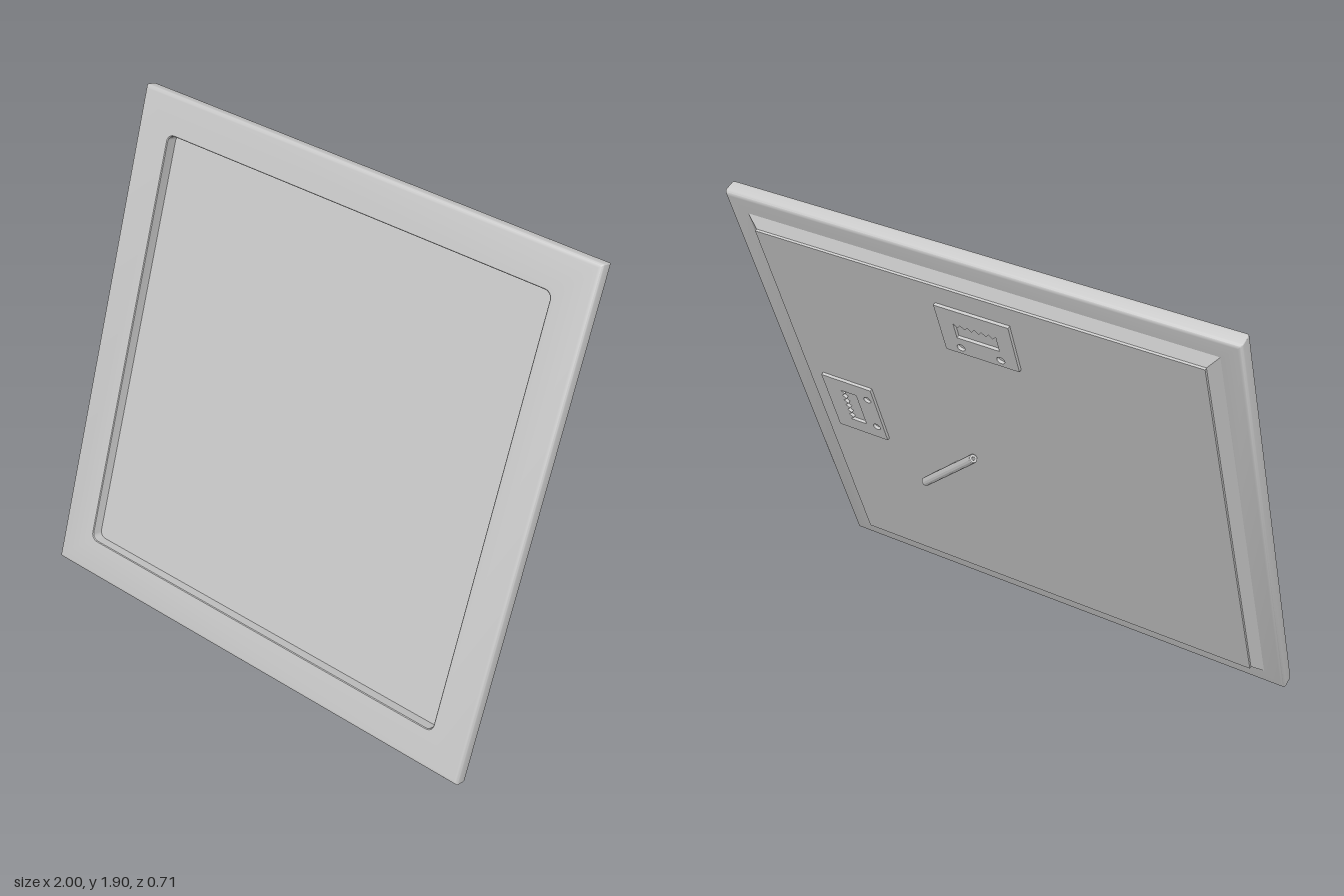
import * as THREE from 'three';
import { toCreasedNormals } from 'three/addons/utils/BufferGeometryUtils.js';

const TILT = Math.atan2(0.65, 1.87);
const HALF_DEPTH = 0.0325;   // half the thickness of the frame
const PANEL_Z = -0.067;      // rear surface of the backing panel

const grey = () => new THREE.MeshStandardMaterial({ color: 0xcccccc });

function add(parent, name, geometry, x = 0, y = 0, z = 0, flat = false) {
  const mesh = new THREE.Mesh(geometry, grey());
  mesh.material.flatShading = flat;
  mesh.name = name;
  mesh.position.set(x, y, z);
  parent.add(mesh);
  return mesh;
}

// Square border: a closed cross-section of round-cornered loops [half width, corner radius, z]
function createBorder() {
  const loops = [];
  const e = 0.015;   // rounding of the outer edges
  for (const [zMid, start] of [[-HALF_DEPTH + e, -Math.PI / 2], [HALF_DEPTH - e, 0]]) {
    for (let i = 0; i <= 4; i++) {
      const a = start + (i / 4) * Math.PI / 2;
      loops.push([1 - e + e * Math.cos(a), 0.004, zMid + e * Math.sin(a)]);
    }
  }
  loops.push([0.852, 0.03, HALF_DEPTH], [0.849, 0.028, HALF_DEPTH - 0.003], [0.849, 0.028, -HALF_DEPTH]);

  const arc = 6, count = 4 * (arc + 1);
  const positions = [], indices = [];
  loops.forEach(([half, r, z], j) => {
    for (let k = 0; k < count; k++) {
      const corner = Math.floor(k / (arc + 1));
      const a = (corner + (k % (arc + 1)) / arc) * Math.PI / 2;
      const sx = corner === 0 || corner === 3 ? 1 : -1;
      const sy = corner < 2 ? 1 : -1;
      positions.push(sx * (half - r) + r * Math.cos(a), sy * (half - r) + r * Math.sin(a), z);
      const next = (k + 1) % count;
      const row = j * count, rowNext = ((j + 1) % loops.length) * count;
      indices.push(row + k, row + next, rowNext + k, row + next, rowNext + next, rowNext + k);
    }
  });
  const geometry = new THREE.BufferGeometry();
  geometry.setAttribute('position', new THREE.Float32BufferAttribute(positions, 3));
  geometry.setIndex(indices);
  return toCreasedNormals(geometry, Math.PI / 6);
}

// Hanger plate with a sawtooth slot and two nail holes; its z axis points out of the panel
function createHanger() {
  const hanger = new THREE.Group();
  hanger.name = 'sawtoothHanger';
  const plate = new THREE.Shape();
  plate.moveTo(-0.148, -0.112);
  plate.lineTo(0.148, -0.112);
  plate.lineTo(0.148, 0.112);
  plate.lineTo(-0.148, 0.112);

  const slot = new THREE.Path();
  const half = 0.085, teeth = 6, step = (2 * half) / teeth;
  slot.moveTo(half, -0.03);
  slot.lineTo(-half, -0.03);
  slot.lineTo(-half, 0.042);
  for (let i = 0; i < teeth; i++) {
    slot.lineTo(-half + (i + 0.5) * step, 0.026);
    slot.lineTo(-half + (i + 1) * step, 0.042);
  }
  plate.holes.push(slot);
  for (const side of [-1, 1]) {
    plate.holes.push(new THREE.Path().absarc(side * 0.08, -0.08, 0.016, 0, Math.PI * 2));
  }
  add(hanger, 'hangerPlate', new THREE.ExtrudeGeometry(plate, {
    depth: 0.012, bevelEnabled: false, curveSegments: 8,
  }));
  return hanger;
}

export function createModel() {
  const model = new THREE.Group();
  model.name = 'leaningPictureFrame';
  const body = new THREE.Group();
  body.name = 'frameBody';
  body.rotation.x = -TILT;
  body.position.y = 0.951;
  model.add(body);

  add(body, 'frameBorder', createBorder());

  // Recessed picture surface
  add(body, 'picturePanel', new THREE.BoxGeometry(1.71, 1.71, 0.018), 0, 0, -0.025);

  // Raised backing with sloping sides, capped by a thin panel
  const slope = new THREE.CylinderGeometry(0.88 * Math.SQRT2, 0.92 * Math.SQRT2, 0.025, 4, 1);
  slope.rotateY(Math.PI / 4);
  slope.rotateX(-Math.PI / 2);
  add(body, 'backingSlope', slope, 0, 0, -0.045, true);
  add(body, 'backingPanel', new THREE.BoxGeometry(1.76, 1.76, 0.01), 0, 0, PANEL_Z + 0.005);

  // Hangers for both ways of hanging the frame
  for (const [x, y, roll] of [[0, 0.68, 0], [0.7, -0.005, Math.PI / 2]]) {
    const hanger = createHanger();
    hanger.position.set(x, y, PANEL_Z);
    hanger.rotation.set(0, Math.PI, roll);
    body.add(hanger);
  }

  // Diagonal support peg with a small hole in each end
  const profile = [
    [0, -0.185], [0.007, -0.185], [0.007, -0.2], [0.016, -0.2], [0.018, -0.197],
    [0.018, 0.197], [0.016, 0.2], [0.007, 0.2], [0.007, 0.185], [0, 0.185],
  ].map(([r, y]) => new THREE.Vector2(r, y));
  const peg = add(body, 'supportPeg', new THREE.LatheGeometry(profile, 12),
    0.315, -0.2, PANEL_Z - 0.019, true);
  peg.rotation.z = Math.PI / 4;

  return model;
}
